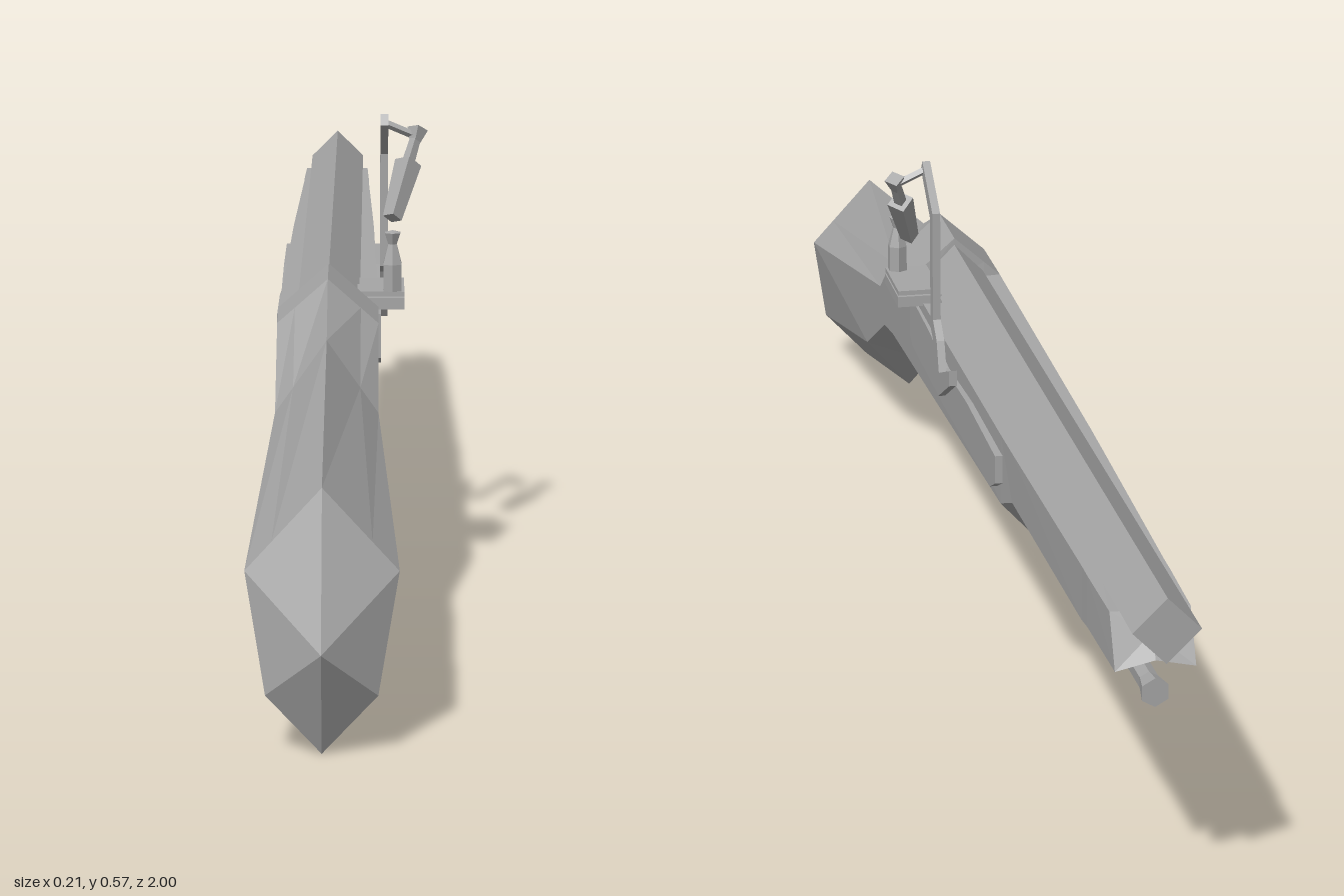
import * as THREE from 'three';

const CX = -0.018; // centre line of stock and barrel

export function createModel() {
  const gun = new THREE.Group();
  gun.name = 'longGun';
  const grey = new THREE.MeshStandardMaterial({ color: 0xa6a6a6 });
  grey.name = 'plain grey';

  // adds a faceted mesh
  function add(name, geometry, x = 0, y = 0, z = 0) {
    const g = geometry.index ? geometry.toNonIndexed() : geometry;
    g.computeVertexNormals();
    const mesh = new THREE.Mesh(g, grey);
    mesh.name = name;
    mesh.position.set(x, y, z);
    gun.add(mesh);
    return mesh;
  }

  // side outline of [z, y] points, extruded from x0 to x1
  function plate(name, points, x0, x1) {
    const shape = new THREE.Shape(points.map(([z, y]) => new THREE.Vector2(z, y)));
    const g = new THREE.ExtrudeGeometry(shape, { depth: x1 - x0, bevelEnabled: false });
    g.rotateY(-Math.PI / 2);
    return add(name, g, x1);
  }

  // tapered rod between two points
  function rod(name, a, b, ra, rb, sides = 4) {
    const p = new THREE.Vector3(...a), q = new THREE.Vector3(...b);
    const mesh = add(name, new THREE.CylinderGeometry(rb, ra, p.distanceTo(q), sides));
    mesh.position.copy(p).add(q).multiplyScalar(0.5);
    mesh.quaternion.setFromUnitVectors(new THREE.Vector3(0, 1, 0), q.sub(p).normalize());
    return mesh;
  }

  // stock stations: upper z, ridge y, upper edge y, half width,
  //                 lower z, lower edge y, half width, keel y
  const stations = [
    [0.90, 0.285, 0.193, 0.084, 0.94, 0.065, 0.061, 0.0],
    [0.45, 0.36, 0.273, 0.061, 0.57, 0.15, 0.060, 0.083],
    [0.33, 0.412, 0.358, 0.061, 0.44, 0.22, 0.057, 0.165],
    [0.221, 0.412, 0.358, 0.061, 0.372, 0.23, 0.057, 0.185],
    [0.22, 0.356, 0.358, 0.061, 0.37, 0.23, 0.057, 0.186],
    [-0.37, 0.356, 0.358, 0.055, -0.37, 0.27, 0.055, 0.22],
    [-0.43, 0.356, 0.358, 0.054, -0.43, 0.294, 0.053, 0.222],
    [-0.79, 0.356, 0.358, 0.047, -0.79, 0.294, 0.047, 0.24],
    [-0.815, 0.356, 0.358, 0.047, -0.82, 0.298, 0.047, 0.305],
    [-0.92, 0.356, 0.358, 0.045, -0.95, 0.3, 0.045, 0.31],
  ];
  const rings = stations.map(([zu, ridge, yu, wu, zl, yl, wl, keel]) => {
    const yi = ridge + (yu - ridge) * 0.65, wi = wu * 0.65;
    return [
      [0, ridge, zu], [-wi, yi, zu], [-wu, yu, zu], [-wl, yl, zl],
      [0, keel, zl], [wl, yl, zl], [wu, yu, zu], [wi, yi, zu],
    ];
  });
  const pos = [];
  const tri = (a, b, c) => pos.push(...a, ...b, ...c);
  const butt = [0, 0.125, 1.0], nose = [0, 0.335, -0.932];
  const last = rings[rings.length - 1];
  for (let j = 0; j < 8; j++) {
    const k = (j + 1) % 8;
    for (let i = 0; i + 1 < rings.length; i++) {
      tri(rings[i][j], rings[i + 1][j], rings[i][k]);
      tri(rings[i][k], rings[i + 1][j], rings[i + 1][k]);
    }
    tri(butt, rings[0][j], rings[0][k]);
    tri(nose, last[k], last[j]);
  }
  const stock = new THREE.BufferGeometry();
  stock.setAttribute('position', new THREE.Float32BufferAttribute(pos, 3));
  add('stock', stock, CX);

  // diamond-section barrel
  const barrel = new THREE.CylinderGeometry(0.038, 0.038, 1.23, 4);
  barrel.rotateX(Math.PI / 2);
  add('barrel', barrel, CX, 0.365, -0.385);

  // raised side panels
  const panel = [[0.2, 0.345], [0.2, 0.29], [0.18, 0.28], [-0.05, 0.278],
    [-0.35, 0.285], [-0.38, 0.3], [-0.38, 0.335], [-0.2, 0.338], [-0.05, 0.33], [0.05, 0.342]];
  plate('leftPanel', panel, CX + 0.045, CX + 0.064);
  plate('rightPanel', panel, CX - 0.064, CX - 0.045);

  // ramrod under the muzzle
  rod('ramrod', [CX, 0.268, -0.75], [CX, 0.272, -0.94], 0.012, 0.012, 6);
  rod('ramrodTip', [CX, 0.272, -0.92], [CX, 0.272, -0.95], 0.012, 0.017, 6);

  // priming pan: two slabs and a spool-shaped post
  add('panBase', new THREE.BoxGeometry(0.058, 0.014, 0.1), 0.046, 0.362, 0.172);
  add('panCover', new THREE.BoxGeometry(0.055, 0.006, 0.1), 0.047, 0.374, 0.172);
  const spool = [[0, 0], [0.013, 0], [0.013, 0.033], [0.006, 0.058], [0.011, 0.072], [0, 0.075]];
  add('panPost', new THREE.LatheGeometry(spool.map(([r, y]) => new THREE.Vector2(r, y)), 6), 0.06, 0.377, 0.212);

  // match arm with its foot lever
  plate('matchArm', [
    [-0.018, 0.36], [-0.035, 0.325], [-0.055, 0.295], [-0.13, 0.335], [-0.13, 0.355],
    [-0.06, 0.328], [-0.045, 0.365], [-0.02, 0.385], [-0.018, 0.525], [0.052, 0.573],
    [0.062, 0.56], [0, 0.515], [-0.002, 0.37],
  ].reverse(), 0.045, 0.055);

  // clamp hanging from the arm
  rod('clampJaw', [0.06, 0.452, 0.12], [0.08, 0.515, 0.073], 0.012, 0.017);
  rod('clampNeck', [0.08, 0.515, 0.073], [0.089, 0.542, 0.053], 0.008, 0.007);
  rod('clampHead', [0.088, 0.536, 0.056], [0.092, 0.554, 0.046], 0.006, 0.013);
  rod('clampLink', [0.05, 0.562, 0.052], [0.09, 0.545, 0.05], 0.005, 0.005);

  return gun;
}
